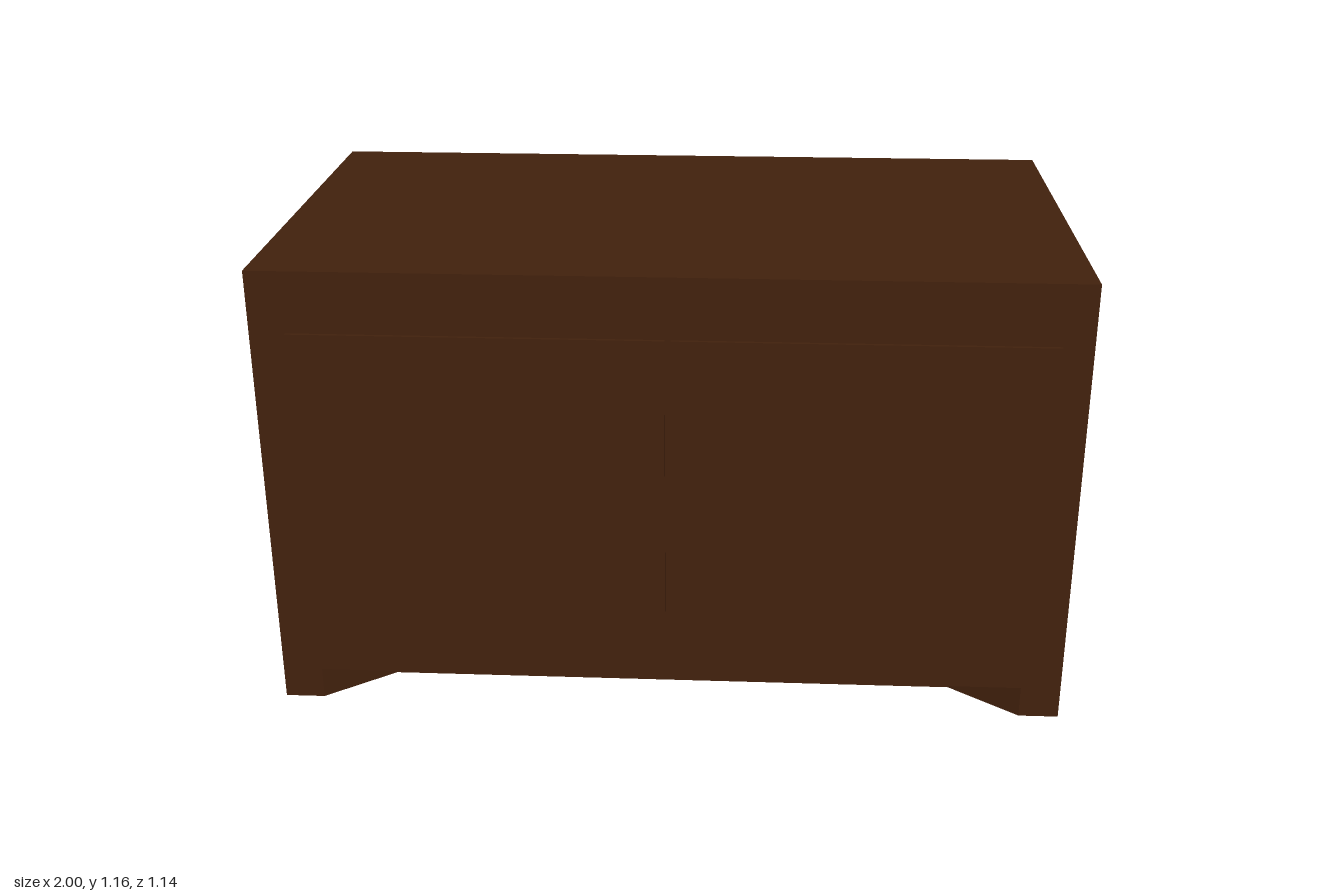
import * as THREE from 'three';

const X = 1, ZF = 0.563, ZB = -0.572;      // cabinet footprint
const TOP = 1.165, ARCH = 0.082;           // cabinet top, height of the cut between the feet
const BASE = 0.01, INNER = 0.072;          // bottom and top of the recessed plinth

// Flat-shaded surface from convex polygons, corners counter-clockwise from outside
function polygons(list) {
  const pos = [];
  for (const p of list)
    for (let i = 1; i < p.length - 1; i++) pos.push(...p[0], ...p[i], ...p[i + 1]);
  const g = new THREE.BufferGeometry();
  g.setAttribute('position', new THREE.Float32BufferAttribute(pos, 3));
  g.computeVertexNormals();
  return g;
}

const at = ([x, z], y) => [x, y, z];

export function createModel() {
  const group = new THREE.Group();
  const wood = new THREE.MeshStandardMaterial({ color: 0x42210d });
  wood.name = 'darkWood';
  const add = (name, geometry) => {
    const mesh = new THREE.Mesh(geometry, wood);
    mesh.name = name;
    group.add(mesh);
    return mesh;
  };

  // Each side, as seen from outside: corners p, q; cut ends A, B; plinth ends a, b
  const sides = [
    { p: [-X, ZF], A: [-0.9, ZF], a: [-0.73, 0.453], b: [0.73, 0.453], B: [0.9, ZF], q: [X, ZF] },
    { p: [X, ZF], A: [X, 0.395], a: [0.8, 0.31], b: [0.8, -0.39], B: [X, -0.48], q: [X, ZB] },
    { p: [X, ZB], A: [0.9, ZB], a: [0.73, -0.462], b: [-0.73, -0.462], B: [-0.9, ZB], q: [-X, ZB] },
    { p: [-X, ZB], A: [-X, -0.48], a: [-0.8, -0.39], b: [-0.8, 0.31], B: [-X, 0.395], q: [-X, ZF] },
  ];

  const walls = [], feet = [], plinth = [], floor = [];
  sides.forEach(({ p, A, a, b, B, q }, i) => {
    const next = sides[(i + 1) % 4];
    walls.push([at(p, ARCH), at(A, ARCH), at(B, ARCH), at(q, ARCH), at(q, TOP), at(p, TOP)]);
    // Outer faces, splayed inner faces and soles of the feet
    feet.push(
      [at(p, 0), at(A, 0), at(A, ARCH), at(p, ARCH)],
      [at(B, 0), at(q, 0), at(q, ARCH), at(B, ARCH)],
      [at(A, 0), at(a, BASE), at(a, INNER), at(A, ARCH)],
      [at(b, BASE), at(B, 0), at(B, ARCH), at(b, INNER)],
      [at(q, 0), at(B, 0), at(next.A, 0)],
      [at(B, 0), at(b, BASE), at(next.a, BASE), at(next.A, 0)],
    );
    // Recessed face and the sloping underside above it
    plinth.push(
      [at(a, BASE), at(b, BASE), at(b, INNER), at(a, INNER)],
      [at(a, INNER), at(b, INNER), at(B, ARCH), at(A, ARCH)],
    );
    floor.push(at(a, BASE), at(b, BASE));
  });
  walls.push(sides.map((s) => at(s.p, TOP)));
  plinth.push(floor.reverse());

  add('cabinetBody', polygons(walls));
  add('feet', polygons(feet));
  add('plinth', polygons(plinth));

  // Two thin doors with a narrow gap
  for (const [name, x0, x1] of [['rightDoor', -0.912, -0.006], ['leftDoor', 0.009, 0.925]]) {
    const door = add(name, new THREE.BoxGeometry(x1 - x0, 0.86, 0.009));
    door.position.set((x0 + x1) / 2, 0.58, ZF + 0.0045);
  }
  return group;
}
